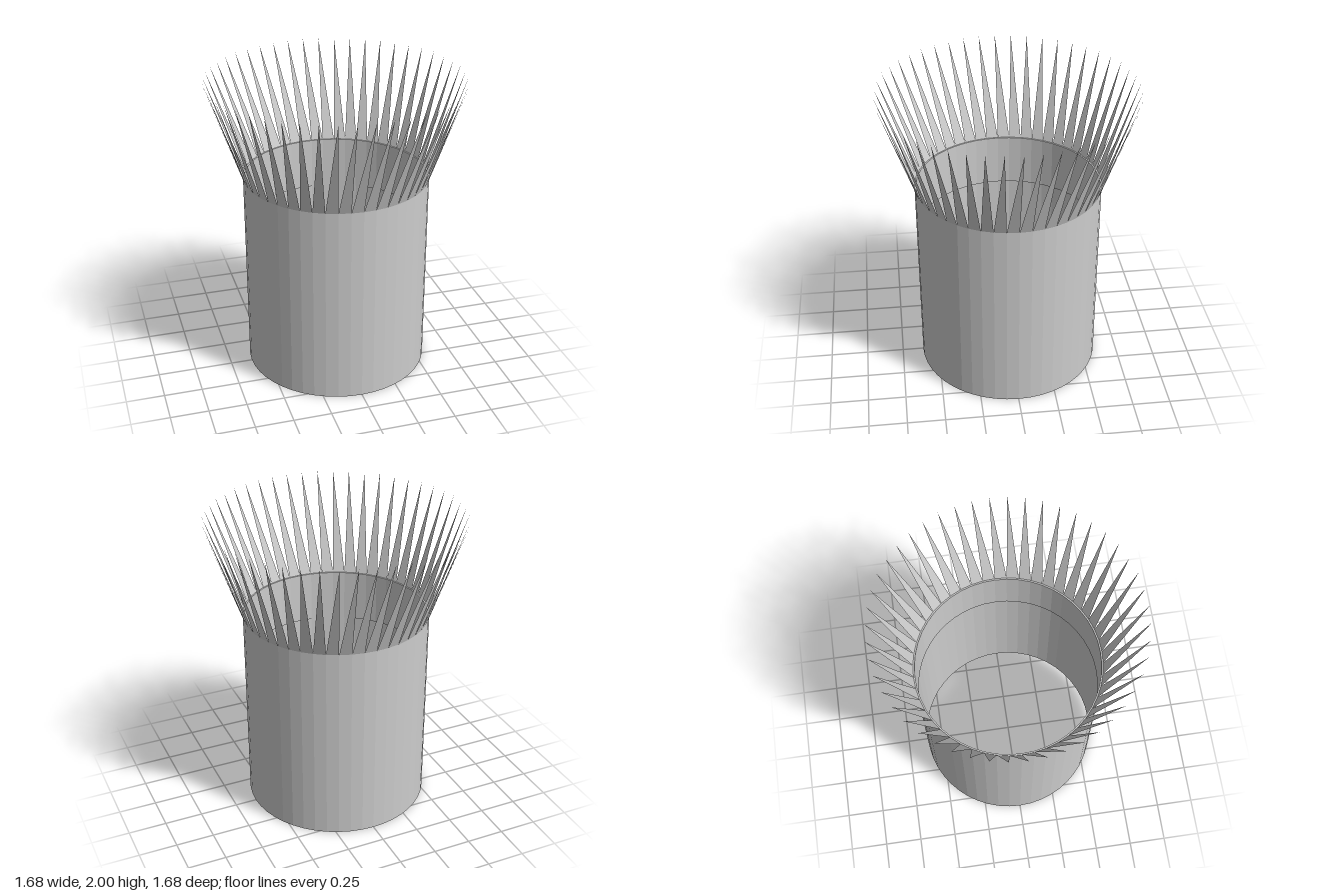
import * as THREE from 'three';

const SIDES = 48;
const RADIUS = 0.607, INNER = 0.597;
const RIM_Y = 1.335, COLLAR_Y = 0.985;
const TIP_RADIUS = 0.838, TIP_Y = 2;

export function createModel() {
  const metal = new THREE.MeshStandardMaterial({ color: 0xcccccc });
  metal.name = 'light grey';
  metal.side = THREE.DoubleSide;
  metal.flatShading = true;

  const group = new THREE.Group();
  const add = (geometry, name) => {
    const mesh = new THREE.Mesh(geometry, metal);
    mesh.name = name;
    group.add(mesh);
  };
  const lathe = (points) =>
    new THREE.LatheGeometry(points.map(([r, y]) => new THREE.Vector2(r, y)), SIDES);

  // Thin open pipe
  add(lathe([[RADIUS, 0], [RADIUS, RIM_Y]]), 'pipeWall');

  // Collar lining the top of the pipe, with its rim and lower ledge
  add(lathe([[RADIUS, RIM_Y], [INNER, RIM_Y], [INNER, COLLAR_Y], [RADIUS, COLLAR_Y]]), 'innerCollar');

  // Flared crown: one leaning blade on each side of the rim
  const at = (r, y, angle) => [r * Math.cos(angle), y, r * Math.sin(angle)];
  const step = (Math.PI * 2) / SIDES;
  const corners = [];
  for (let i = 0; i < SIDES; i++) {
    const a = i * step;
    corners.push(
      ...at(RADIUS, RIM_Y, a + step),
      ...at(RADIUS, RIM_Y, a),
      ...at(TIP_RADIUS, TIP_Y, a + step * 0.06),
    );
  }
  const crown = new THREE.BufferGeometry();
  crown.setAttribute('position', new THREE.Float32BufferAttribute(corners, 3));
  crown.computeVertexNormals();
  add(crown, 'crownBlades');

  return group;
}
